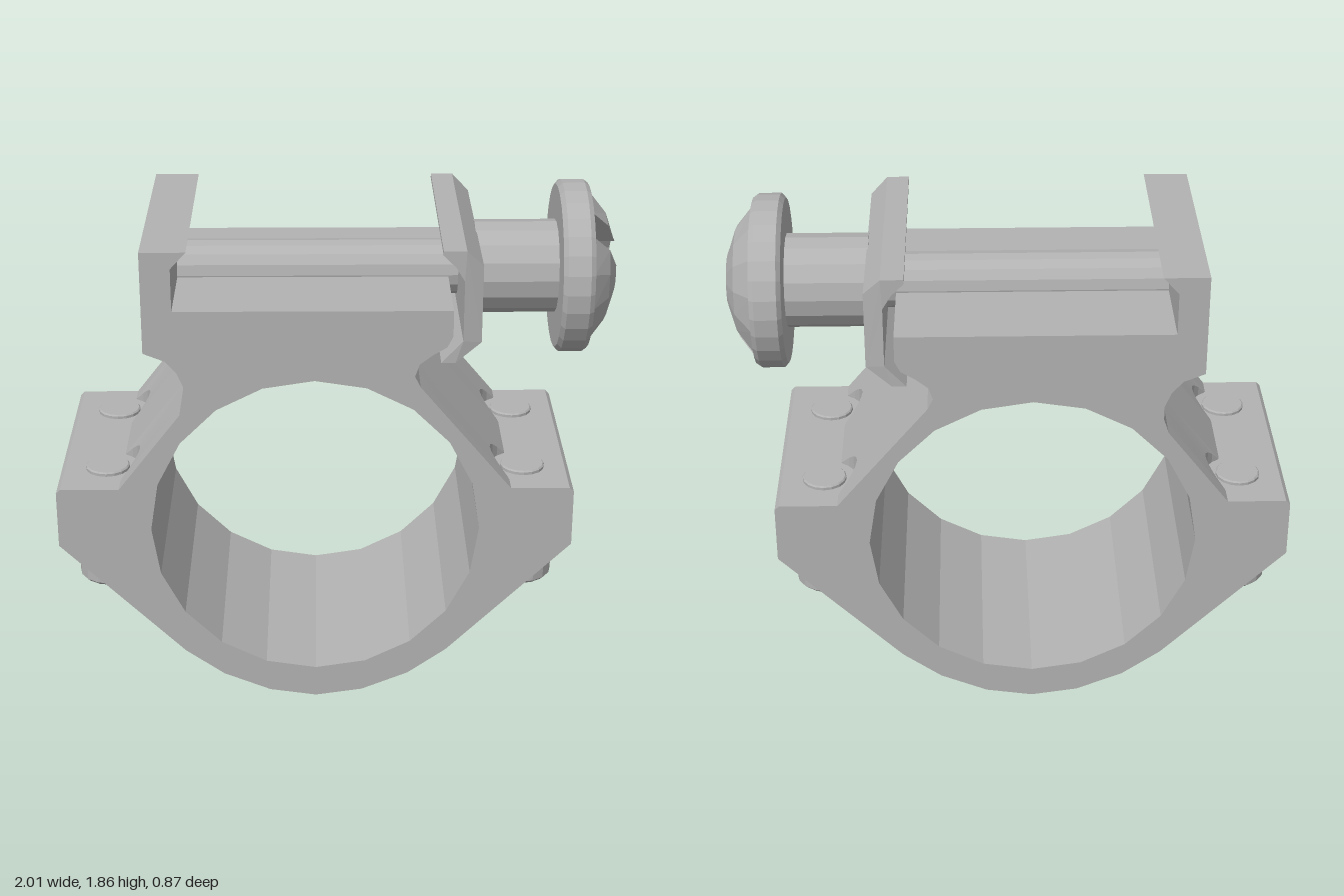
import * as THREE from 'three';

const steel = new THREE.MeshStandardMaterial({ color: 0xb2b2b2, flatShading: true });
steel.name = 'steel grey';

const DEPTH = 0.435;   // half depth of the mount
const CX = -0.08;      // ring axis
const SCREW_X = 0.755; // screw offset from the ring axis
const SCREW_Z = 0.25;
const POCKET_R = 0.12;
const BOLT_Y = 1.55;

function add(parent, geometry, name, x = 0, y = 0, z = 0) {
  const m = new THREE.Mesh(geometry, steel);
  m.name = name;
  m.position.set(x, y, z);
  parent.add(m);
  return m;
}

// Skin between closed loops that follow one another towards +z (loops counterclockwise)
function loft(loops, caps = false) {
  const pos = [];
  const tri = (a, b, c) => {
    const area = b.clone().sub(a).cross(c.clone().sub(a)).length();
    if (area > 1e-9) for (const p of [a, b, c]) pos.push(p.x, p.y, p.z);
  };
  for (let i = 0; i + 1 < loops.length; i++) {
    const A = loops[i], B = loops[i + 1];
    for (let j = 0; j < A.length; j++) {
      const k = (j + 1) % A.length;
      tri(A[j], A[k], B[k]);
      tri(A[j], B[k], B[j]);
    }
  }
  if (caps) {
    const A = loops[0], B = loops[loops.length - 1];
    for (let j = 1; j + 1 < A.length; j++) {
      tri(A[0], A[j + 1], A[j]);
      tri(B[0], B[j], B[j + 1]);
    }
  }
  const g = new THREE.BufferGeometry();
  g.setAttribute('position', new THREE.Float32BufferAttribute(pos, 3));
  g.computeVertexNormals();
  return g;
}

// One side of the ring clamp, bottom to top; w is the half width of the screw pockets
const underSlope = u => 0.2 + (u - 0.48) * 0.989;
const overSlope = u => 0.865 + (0.7 - u) * 1.19;
function ringSide(w, open) {
  const a = SCREW_X - w, b = SCREW_X + w, foot = Math.min(0.7, a);
  const floor = u => (open ? 0.605 : underSlope(u));
  return [
    [0.17, 0.03], [0.34, 0.1], [0.48, 0.2],
    [a, underSlope(a)], [a, floor(a)], [b, floor(b)], [b, underSlope(b)],
    [0.925, 0.64], [0.925, 0.85], [0.91, 0.865],
    [foot, 0.865], [foot, overSlope(foot)],
  ];
}

// Whole outline: ring clamp, waist and rail seat with its fixed hook
function outline(w = 0, open = false) {
  const side = ringSide(w, open);
  return [
    [CX, 0.005],
    ...side.map(([u, y]) => [CX + u, y]),
    [0.29, 1.26], [0.27, 1.3], [0.285, 1.345], [0.33, 1.38], [0.38, 1.41], [0.4, 1.45], [0.4, 1.545],
    [-0.57, 1.545], [-0.57, 1.7], [-0.515, 1.76], [-0.675, 1.76], [-0.675, 1.39],
    [-0.6, 1.36], [-0.56, 1.315], [-0.537, 1.26], [-0.537, 1.21], [-0.555, 1.155],
    ...side.reverse().map(([u, y]) => [CX - u, y]),
  ];
}

function buildBody(group) {
  const at = (pts, z) => pts.map(([x, y]) => new THREE.Vector3(x, y, z));

  // Outer skin, opening into round screw pockets
  const loops = [at(outline(), -DEPTH)];
  for (const z0 of [-SCREW_Z, SCREW_Z]) {
    loops.push(at(outline(), z0 - POCKET_R));
    for (let i = 0; i <= 12; i++) {
      const t = Math.PI * i / 12;
      loops.push(at(outline(POCKET_R * Math.sin(t), true), z0 - POCKET_R * Math.cos(t)));
    }
    loops.push(at(outline(), z0 + POCKET_R));
  }
  loops.push(at(outline(), DEPTH));
  add(group, loft(loops), 'mount body');

  // Bore of the ring
  const bore = [];
  for (let i = 0; i < 20; i++) {
    const t = -Math.PI * 2 * i / 20;
    bore.push([CX + 0.59 * Math.cos(t), 0.705 + 0.58 * Math.sin(t)]);
  }
  add(group, loft([at(bore, -DEPTH), at(bore, DEPTH)]), 'ring bore');

  // Flat end faces
  const plain = outline().filter((p, i, all) => {
    const q = all[(i + 1) % all.length];
    return Math.hypot(p[0] - q[0], p[1] - q[1]) > 1e-4;
  });
  for (const s of [1, -1]) {
    const flip = pts => pts.map(([x, y]) => new THREE.Vector2(s * x, y));
    const shape = new THREE.Shape(flip(plain));
    shape.holes.push(new THREE.Path(flip(bore)));
    const face = add(group, new THREE.ShapeGeometry(shape), s > 0 ? 'front face' : 'back face', 0, 0, s * DEPTH);
    if (s < 0) face.rotation.y = Math.PI;
  }
}

const lathe = (pts, sides) =>
  new THREE.LatheGeometry(pts.map(([r, y]) => new THREE.Vector2(r, y)), sides);

function buildRingScrews(group) {
  const head = lathe([[0, 0.5], [0.06, 0.47], [0.085, 0.435], [0.108, 0.435], [0.12, 0.447], [0.12, 0.605]], 16);
  const tip = lathe([[0.08, 0.86], [0.08, 0.875], [0.075, 0.88], [0, 0.88]], 16);
  for (const sx of [-1, 1]) for (const sz of [-1, 1]) {
    const screw = new THREE.Group();
    screw.name = 'ringScrew';
    screw.position.set(CX + sx * SCREW_X, 0, sz * SCREW_Z);
    add(screw, head, 'screw head');
    add(screw, tip, 'screw tip');
    group.add(screw);
  }
}

function buildClampPlate(group) {
  const pts = [
    [0.36, 1.35], [0.41, 1.35], [0.5, 1.42], [0.5, 1.7], [0.44, 1.76], [0.36, 1.76],
    [0.36, 1.745], [0.405, 1.7], [0.435, 1.65], [0.435, 1.43],
  ];
  const shape = new THREE.Shape(pts.map(([x, y]) => new THREE.Vector2(x, y)));
  const g = new THREE.ExtrudeGeometry(shape, { depth: 0.86, bevelEnabled: false });
  g.translate(0, 0, -0.43);
  // Narrow the outer face so the ends are chamfered
  const p = g.attributes.position;
  for (let i = 0; i < p.count; i++) if (p.getX(i) > 0.48) p.setZ(i, p.getZ(i) * 0.96);
  g.computeVertexNormals();
  add(group, g, 'clamp plate');
}

function buildCrossBolt(group) {
  const bolt = new THREE.Group();
  bolt.name = 'crossBolt';
  bolt.position.y = BOLT_Y;
  group.add(bolt);
  const along = g => g.rotateZ(-Math.PI / 2);
  add(bolt, along(new THREE.CylinderGeometry(0.1, 0.1, 1.06, 16)), 'bolt rod', -0.04);
  add(bolt, along(new THREE.CylinderGeometry(0.168, 0.168, 0.31, 16)), 'bolt collar', 0.65);
  add(bolt, along(lathe([
    [0, 0.79], [0.295, 0.79], [0.312, 0.805], [0.312, 0.885], [0.3, 0.902], [0, 0.902],
  ], 28)), 'bolt head');

  // Domed cap in two halves with a slot between them
  const profile = [[0.9, 0.1], [1, 0.1], [0.965, 0.2], [0.9, 0.285]];
  const loops = [];
  for (let i = 0; i <= 6; i++) {
    loops.push(profile.map(([h, r]) => {
      const a = Math.acos(0.05 / r) * (i / 3 - 1);
      return new THREE.Vector3(h, r * Math.cos(a), r * Math.sin(a));
    }));
  }
  const half = loft(loops, true);
  for (const turn of [0, Math.PI]) {
    add(bolt, half, 'slotted dome half').rotation.x = turn - 0.87;
  }
}

export function createModel() {
  const group = new THREE.Group();
  group.name = 'ringMount';
  buildBody(group);
  buildRingScrews(group);
  buildClampPlate(group);
  buildCrossBolt(group);
  return group;
}
